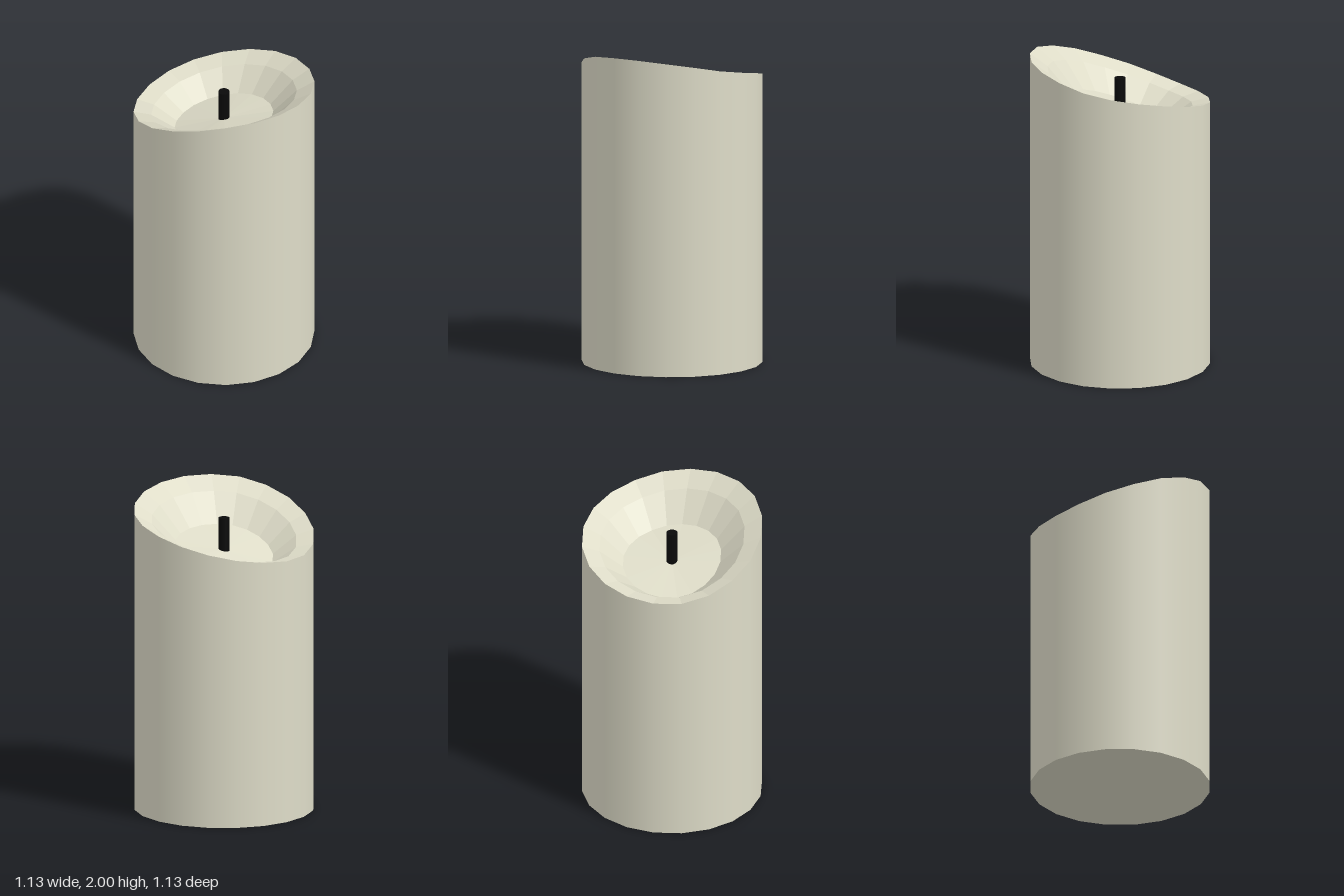
import * as THREE from 'three';

const SIDES = 20, RADIUS = 0.565, MEAN = 1.84;
// Height of the slanted rim at each side, going from +x towards +z
const RIM = [2, 2, 1.985, 1.945, 1.89, 1.825, 1.765, 1.712, 1.68, 1.676,
  1.69, 1.715, 1.75, 1.79, 1.83, 1.865, 1.895, 1.925, 1.96, 1.985];

function rimOffset(x, z) {
  const step = Math.round(Math.atan2(z, x) / (Math.PI * 2) * SIDES);
  return RIM[(step + SIDES) % SIDES] - MEAN;
}

// Turned surface whose points above the ground follow the slant of the rim
function turned(name, profile, material) {
  const geometry = new THREE.LatheGeometry(profile.map(([r, y]) => new THREE.Vector2(r, y)), SIDES);
  const p = geometry.attributes.position;
  for (let i = 0; i < p.count; i++) {
    const x = p.getX(i), z = p.getZ(i), r = Math.hypot(x, z);
    if (p.getY(i) > 0.01 && r > 0.01) p.setY(i, p.getY(i) + rimOffset(x, z) * r / RADIUS);
  }
  const mesh = new THREE.Mesh(geometry, material);
  mesh.name = name;
  return mesh;
}

export function createModel() {
  const group = new THREE.Group();
  group.name = 'candle';
  const wax = new THREE.MeshStandardMaterial({ color: 0xdedcc8 });
  const facetedWax = new THREE.MeshStandardMaterial({ color: 0xdedcc8, flatShading: true });
  const black = new THREE.MeshStandardMaterial({ color: 0x0a0a0a });

  // Wax body: base, smooth wall, faceted hollow and its tilted floor
  group.add(
    turned('base', [[0, 0], [RADIUS, 0]], facetedWax),
    turned('wall', [[RADIUS, 0], [RADIUS, MEAN]], wax),
    turned('hollow', [[RADIUS, MEAN], [0.455, 1.79], [0.308, 1.655]], facetedWax),
    turned('hollowFloor', [[0.308, 1.655], [0, 1.655]], facetedWax),
  );

  // Wick, sunk slightly into the floor
  const wick = new THREE.Mesh(new THREE.CylinderGeometry(0.035, 0.035, 0.23, 16), black);
  wick.name = 'wick';
  wick.position.y = 1.743;
  group.add(wick);
  return group;
}
